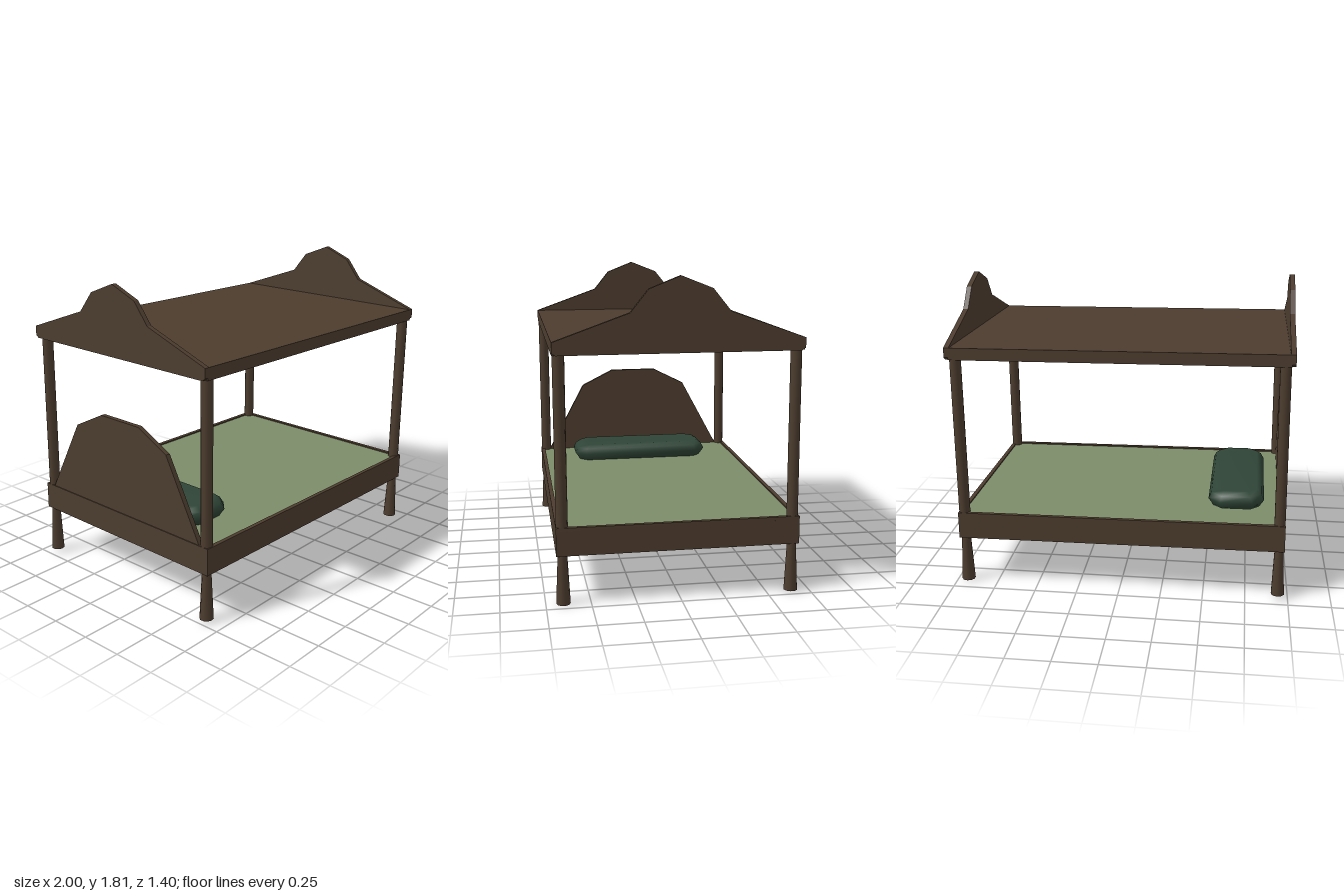
import * as THREE from 'three';

const wood = new THREE.MeshStandardMaterial({ color: 0x4c3c2e });
wood.name = 'dark wood';
const sheet = new THREE.MeshStandardMaterial({ color: 0x7c8c69 });
sheet.name = 'sage sheet';
const cloth = new THREE.MeshStandardMaterial({ color: 0x2f4537 });
cloth.name = 'dark green cloth';

const toShape = (points) => new THREE.Shape(points.map(([x, y]) => new THREE.Vector2(x, y)));

// Symmetric board standing across the bed: half outline as [z, y], from the base to the top
function endBoard(half, thickness) {
  const mirrored = half.filter(([z]) => z > 0).map(([z, y]) => [-z, y]).reverse();
  const geometry = new THREE.ExtrudeGeometry(toShape([...half, ...mirrored]), { depth: thickness, bevelEnabled: false });
  return geometry.translate(0, 0, -thickness / 2).rotateY(Math.PI / 2);
}

// Pillow from stacked chamfered rectangles: [y, half width x, half length z, corner cut]
function pillowGeometry(rings) {
  const positions = [];
  const index = [];
  for (const [y, w, l, c] of rings) {
    const outline = [[w, l - c], [w - c, l], [c - w, l], [-w, l - c], [-w, c - l], [c - w, -l], [w - c, -l], [w, c - l]];
    for (const [x, z] of outline) positions.push(x, y, z);
  }
  for (let r = 0; r < rings.length - 1; r++) {
    for (let i = 0; i < 8; i++) {
      const a = r * 8 + i, b = r * 8 + (i + 1) % 8;
      index.push(a, a + 8, b, b, a + 8, b + 8);
    }
  }
  const top = (rings.length - 1) * 8;
  for (let i = 1; i < 7; i++) {
    index.push(0, i, i + 1);
    index.push(top, top + i + 1, top + i);
  }
  const geometry = new THREE.BufferGeometry();
  geometry.setAttribute('position', new THREE.Float32BufferAttribute(positions, 3));
  geometry.setIndex(index);
  geometry.computeVertexNormals();
  return geometry;
}

export function createModel() {
  const model = new THREE.Group();
  model.name = 'canopyBed';

  // The bed leans very slightly about its middle
  const pivot = new THREE.Group();
  pivot.name = 'bed';
  pivot.position.y = 0.9;
  pivot.rotation.set(0.005, -0.01, -0.01);
  model.add(pivot);

  const add = (name, geometry, material, x, y, z) => {
    const mesh = new THREE.Mesh(geometry, material);
    mesh.name = name;
    mesh.position.set(x, y - 0.9, z);
    pivot.add(mesh);
    return mesh;
  };

  // Frame: a low base box with raised side rails around the mattress
  const frameW = 0.97, frameD = 0.683, rim = 0.025;
  add('frameBase', new THREE.BoxGeometry(frameW * 2, 0.14, frameD * 2), wood, 0, 0.365, 0);
  for (const s of [-1, 1]) {
    add('sideRail', new THREE.BoxGeometry(frameW * 2, 0.02, rim), wood, 0, 0.445, s * (frameD - rim / 2));
    add('endRail', new THREE.BoxGeometry(rim, 0.02, (frameD - rim) * 2), wood, s * (frameW - rim / 2), 0.445, 0);
  }
  add('mattress', new THREE.BoxGeometry((frameW - rim) * 2, 0.012, (frameD - rim) * 2), sheet, 0, 0.441, 0);

  // Posts and flared legs at the four corners
  const post = new THREE.CylinderGeometry(0.033, 0.033, 0.97, 10);
  const leg = new THREE.CylinderGeometry(0.026, 0.04, 0.29, 10);
  for (const x of [-0.938, 0.938]) {
    for (const z of [-0.648, 0.648]) {
      add('post', post, wood, x, 0.915, z);
      add('leg', leg, wood, x, 0.158, z);
    }
  }

  // Headboard at the pillow end
  const headHalf = [[0.615, 0.43], [0.615, 0.455], [0.37, 0.912], [0.155, 1.02]];
  add('headboard', endBoard(headHalf, 0.03), wood, -0.95, 0, 0);

  // Flat canopy with a peaked gable at each end
  add('canopy', new THREE.BoxGeometry(1.94, 0.07, 1.37), wood, 0, 1.43, 0);
  const gableHalf = [[0.665, 1.395], [0.685, 1.41], [0.685, 1.465], [0.27, 1.613], [0.172, 1.735], [0, 1.803]];
  const gable = endBoard(gableHalf, 0.03);
  for (const s of [-1, 1]) add('gable', gable, wood, s * 0.977, 0, 0);

  // Pillow
  const pillow = pillowGeometry([
    [0, 0.135, 0.425, 0.05],
    [0.05, 0.167, 0.458, 0.07],
    [0.085, 0.15, 0.44, 0.065],
    [0.108, 0.122, 0.405, 0.05],
  ]);
  add('pillow', pillow, cloth, -0.68, 0.445, 0);

  return model;
}
